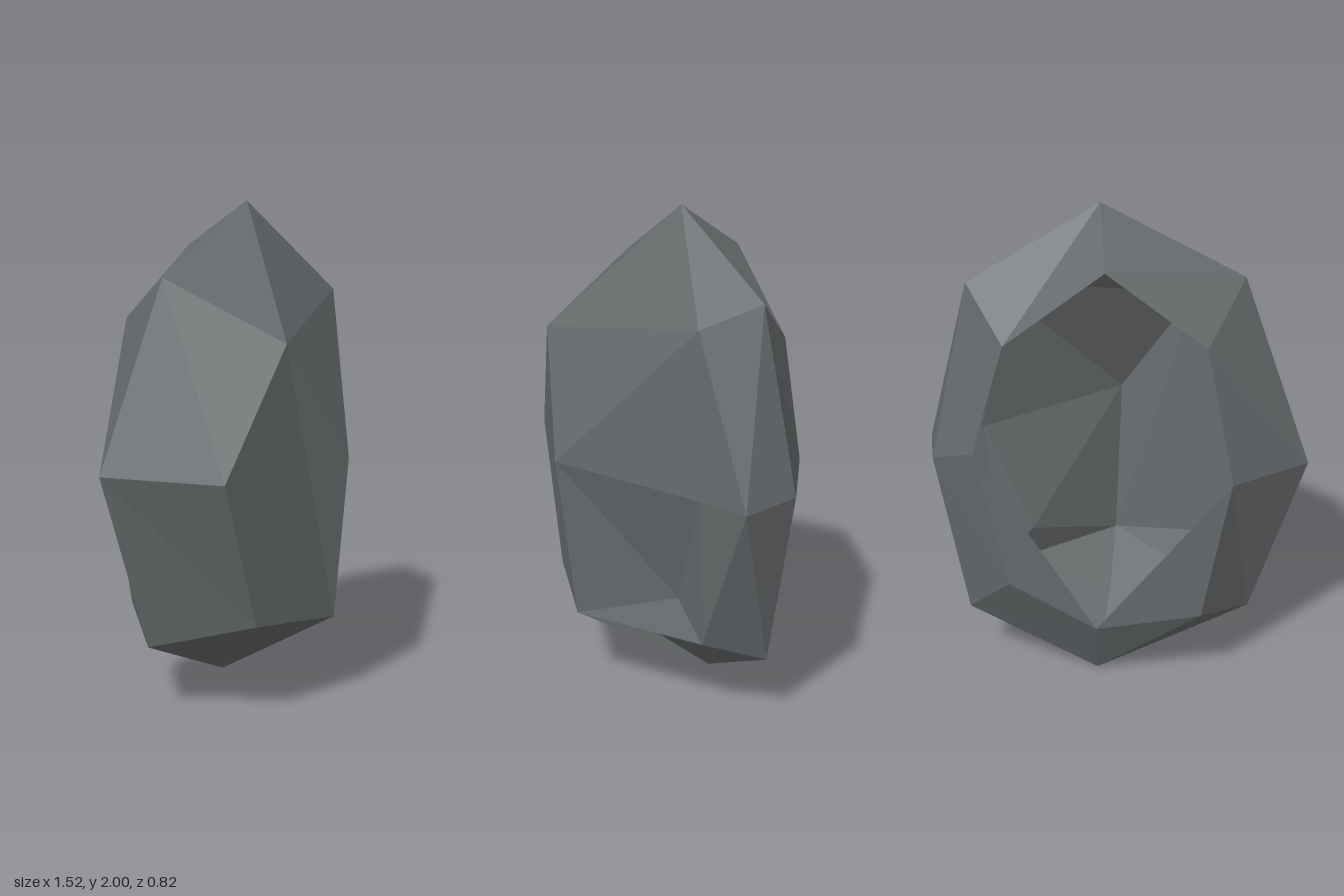
import * as THREE from 'three';

// Corner points of the hollow rock shell
const P = {
  // outer belt
  top: [0.06, 2, -0.11], topR: [-0.49, 1.72, -0.105], sideR: [-0.76, 0.99, -0.2], lowR: [-0.55, 0.28, -0.15],
  base: [0.07, 0, -0.25], lowL: [0.6, 0.28, -0.25], sideL: [0.71, 1, -0.295], topL: [0.56, 1.71, -0.22],
  // front bulge
  brow: [-0.29, 1.48, 0.325], cheekR: [-0.58, 0.98, 0.25], jawR: [-0.38, 0.39, 0.25], chin: [0.04, 0.345, 0.335],
  peak: [0.02, 1.01, 0.41], browL: [0.51, 1.625, 0.02], dent: [0.56, 0.98, 0.03], notch: [0.37, 0.5, 0.03],
  jawL: [0.5, 0.345, -0.015], under: [0.04, 0.215, 0.02], edgeL: [0.76, 0.98, -0.065],
  // back rim
  rimTop: [0.02, 1.82, -0.375], rimTopL: [0.4, 1.53, -0.395], rimL: [0.53, 1.08, -0.405], rimLowL: [0.41, 0.49, -0.395],
  rimLow: [0.06, 0.285, -0.385], rimLowR: [-0.36, 0.375, -0.39], rimR: [-0.47, 0.99, -0.41], rimTopR: [-0.36, 1.545, -0.395],
};

// Facets, each a convex loop of corners split as a fan
const parts = {
  frontFacets: [
    'top topR brow', 'top brow browL', 'brow peak browL', 'brow cheekR jawR chin peak',
    'peak chin notch dent browL', 'topR sideR cheekR brow', 'sideR lowR jawR cheekR',
  ],
  undersideFacets: ['chin jawR lowR base under', 'chin under jawL notch', 'under base lowL jawL'],
  leftFacets: [
    'top browL topL', 'browL dent edgeL', 'dent notch jawL edgeL', 'browL edgeL topL',
    'topL edgeL sideL', 'edgeL lowL sideL', 'edgeL jawL lowL',
  ],
  backRim: [
    'top topL rimTopL rimTop', 'topL sideL rimL rimTopL', 'sideL lowL rimLowL rimL', 'lowL base rimLow rimLowL',
    'base lowR rimLowR rimLow', 'lowR sideR rimR rimLowR', 'sideR topR rimTopR rimR', 'topR top rimTop rimTopR',
    'rimL rimLowL rimLow', 'rimLow rimLowR rimR',
  ],
};

// Turns corner loops into triangles that face away from the middle
function facetGeometry(loops) {
  const middle = new THREE.Vector3(0, 1, -0.12);
  const points = [];
  for (const loop of loops) {
    const c = loop.split(' ').map((n) => new THREE.Vector3(...P[n]));
    for (let i = 1; i < c.length - 1; i++) {
      const tri = new THREE.Triangle(c[0], c[i], c[i + 1]);
      const normal = tri.getNormal(new THREE.Vector3());
      const out = tri.getMidpoint(new THREE.Vector3()).sub(middle);
      points.push(...(normal.dot(out) < 0 ? [c[0], c[i + 1], c[i]] : [c[0], c[i], c[i + 1]]));
    }
  }
  const g = new THREE.BufferGeometry().setFromPoints(points);
  g.computeVertexNormals();
  return g;
}

export function createModel() {
  const rock = new THREE.Group();
  rock.name = 'hollowRock';
  // Open thin shell, so the hollow shows the inside of the front
  const stone = new THREE.MeshStandardMaterial({ color: 0x666a6c, flatShading: true, side: THREE.DoubleSide });
  stone.name = 'dark grey stone';
  for (const [name, loops] of Object.entries(parts)) {
    const mesh = new THREE.Mesh(facetGeometry(loops), stone);
    mesh.name = name;
    rock.add(mesh);
  }
  return rock;
}
